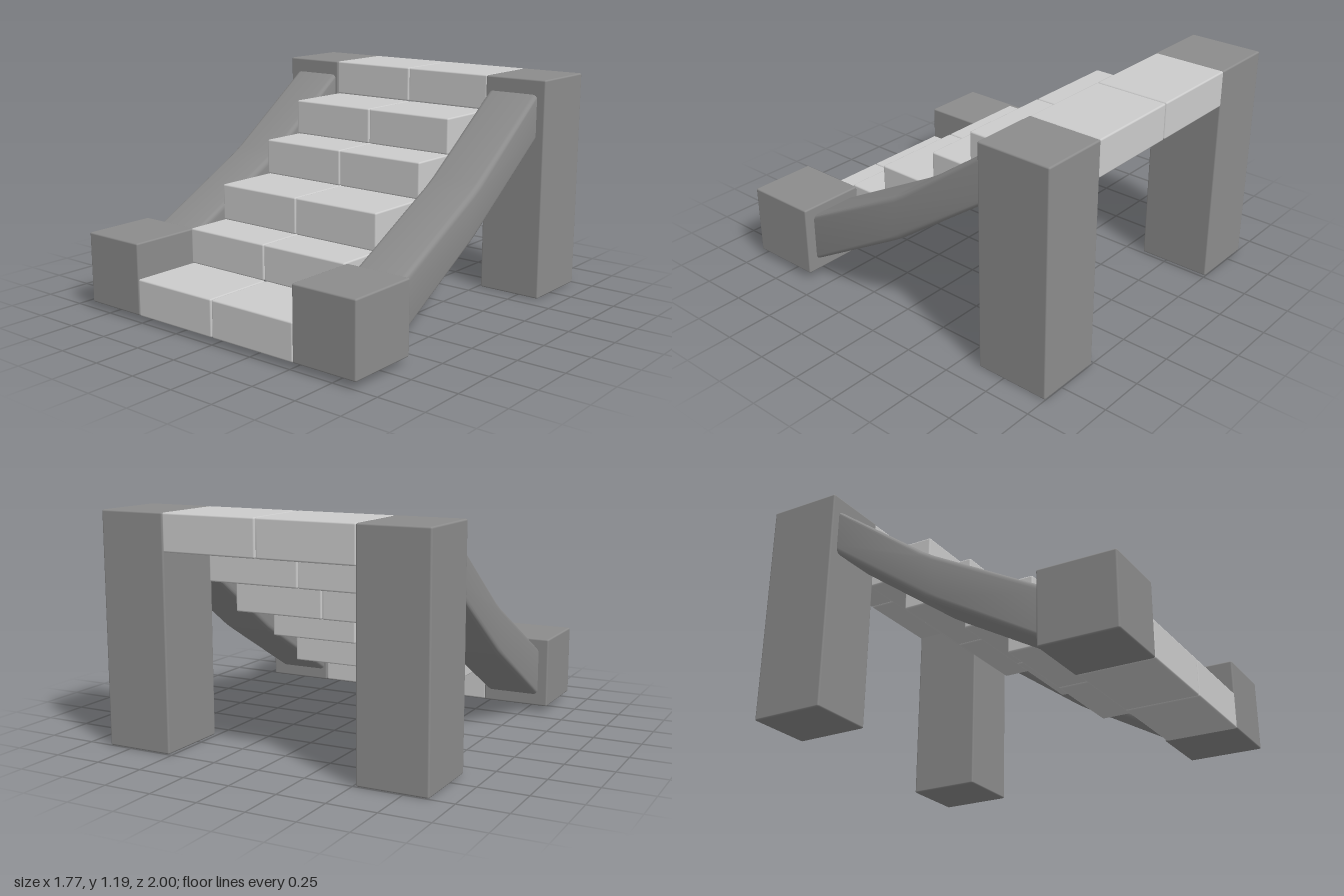
import * as THREE from 'three';
import { RoundedBoxGeometry } from 'three/addons/geometries/RoundedBoxGeometry.js';
import { toCreasedNormals } from 'three/addons/utils/BufferGeometryUtils.js';

const stepMaterial = new THREE.MeshStandardMaterial({ color: 0xcccccc });
const frameMaterial = new THREE.MeshStandardMaterial({ color: 0x8c8c8c });

// Softly rounded block given by its extents on each axis
function block(name, material, [x0, x1], [y0, y1], [z0, z1]) {
  const geometry = new RoundedBoxGeometry(x1 - x0, y1 - y0, z1 - z0, 2, 0.009);
  const mesh = new THREE.Mesh(geometry, material);
  mesh.position.set((x0 + x1) / 2, (y0 + y1) / 2, (z0 + z1) / 2);
  mesh.name = name;
  return mesh;
}

// Slightly bent rail: side profile (z, y) extruded across x with rounded edges
function railGeometry(width) {
  const bevel = 0.028;
  const profile = [
    [0.66, 0.065], [0.03, 0.42], [-0.04, 0.462], [-0.66, 0.902],
    [-0.66, 1.153], [-0.07, 0.73], [0, 0.687], [0.66, 0.335],
  ];
  const shape = new THREE.Shape(profile.map(([z, y]) => new THREE.Vector2(z, y)));
  const geometry = new THREE.ExtrudeGeometry(shape, {
    depth: width - 2 * bevel,
    bevelThickness: bevel,
    bevelSize: bevel,
    bevelOffset: -bevel,
    bevelSegments: 4,
  });
  geometry.translate(0, 0, bevel - width / 2);
  geometry.rotateY(-Math.PI / 2);
  return toCreasedNormals(geometry, 0.6);
}

export function createModel() {
  const model = new THREE.Group();
  model.name = 'staircase';

  // Six overlapping steps, each made of two blocks: [front z, back z]
  const depths = [
    [1, 0.61], [0.625, 0.24], [0.38, -0.01],
    [0.02, -0.38], [-0.235, -0.62], [-0.605, -1],
  ];
  const levels = [0.035, 0.23, 0.42, 0.615, 0.808, 1.0, 1.19];
  depths.forEach(([front, back], i) => {
    const step = new THREE.Group();
    step.name = `step${i + 1}`;
    const y = [levels[i], levels[i + 1]];
    step.add(
      block('leftStepBlock', stepMaterial, [0.002, 0.517], y, [back, front]),
      block('rightStepBlock', stepMaterial, [-0.517, -0.002], y, [back, front]),
    );
    model.add(step);
  });

  // Posts and rails, mirrored left and right
  const rail = railGeometry(0.296);
  for (const [label, s] of [['left', 1], ['right', -1]]) {
    const span = (a, b) => (s > 0 ? [a, b] : [-b, -a]);
    const railMesh = new THREE.Mesh(rail, frameMaterial);
    railMesh.name = `${label}Rail`;
    railMesh.position.x = s * 0.68;
    model.add(
      block(`${label}FrontPost`, frameMaterial, span(0.515, 0.883), [0.035, 0.415], [0.6, 1]),
      block(`${label}BackPost`, frameMaterial, span(0.515, 0.876), [0, 1.19], [-1, -0.6]),
      railMesh,
    );
  }
  return model;
}
